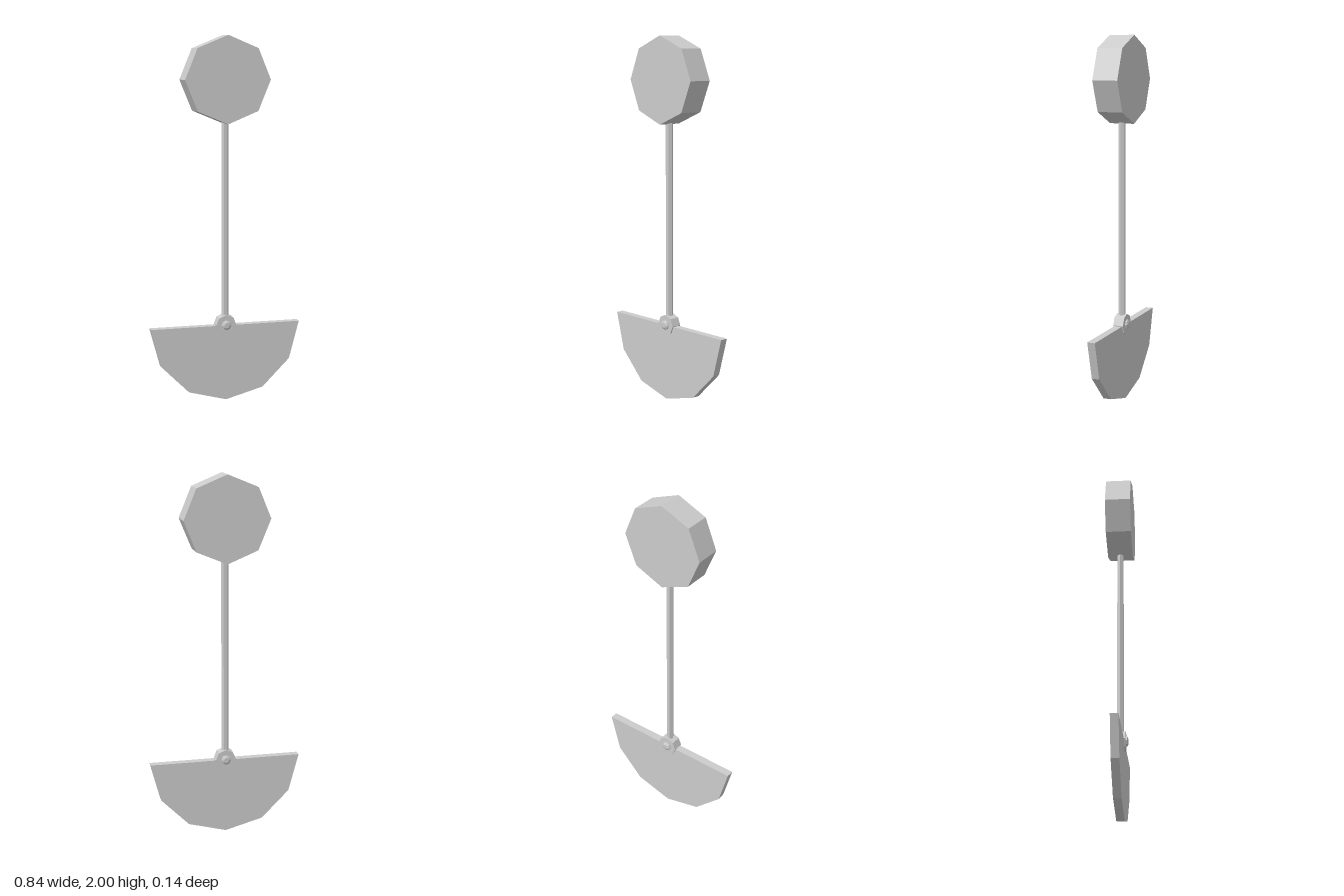
import * as THREE from 'three';

const material = new THREE.MeshStandardMaterial({ color: 0xcccccc, flatShading: true });
const PIVOT = 0.422;

export function createModel() {
  const group = new THREE.Group();
  const add = (name, geometry, y) => {
    const mesh = new THREE.Mesh(geometry, material);
    mesh.name = name;
    mesh.position.y = y;
    group.add(mesh);
  };
  // Faceted disc facing +z, with a corner pointing straight up
  const disc = (radius, depth, sides) =>
    new THREE.CylinderGeometry(radius, radius, depth, sides).rotateX(Math.PI / 2);

  // Octagonal weight at the top
  add('weight', disc(0.235, 0.14, 8), 1.765);

  // Hexagonal rod, flat sides to front and back
  add('rod', new THREE.CylinderGeometry(0.02, 0.02, 1.14, 6).rotateY(Math.PI / 6), 0.99);

  // Half-round blade: lower half of a twelve-sided disc
  const blade = new THREE.Shape();
  for (let i = 0; i <= 6; i++) {
    const a = Math.PI + (i * Math.PI) / 6;
    const x = Math.cos(a) * PIVOT, y = Math.sin(a) * PIVOT;
    if (i === 0) blade.moveTo(x, y); else blade.lineTo(x, y);
  }
  blade.closePath();
  const bladeGeometry = new THREE.ExtrudeGeometry(blade, { depth: 0.043, bevelEnabled: false });
  add('blade', bladeGeometry.translate(0, 0, -0.0215), PIVOT);

  // Hub joining rod and blade
  add('hub', disc(0.057, 0.058, 8), PIVOT + 0.003);

  // Pivot pin with stepped, bevelled heads on both ends
  const profile = [[0, -0.042], [0.015, -0.042], [0.027, -0.036], [0.027, 0.036], [0.015, 0.042], [0, 0.042]]
    .map(([r, h]) => new THREE.Vector2(r, h));
  add('pivotPin', new THREE.LatheGeometry(profile, 8).rotateX(Math.PI / 2), PIVOT + 0.003);

  return group;
}
